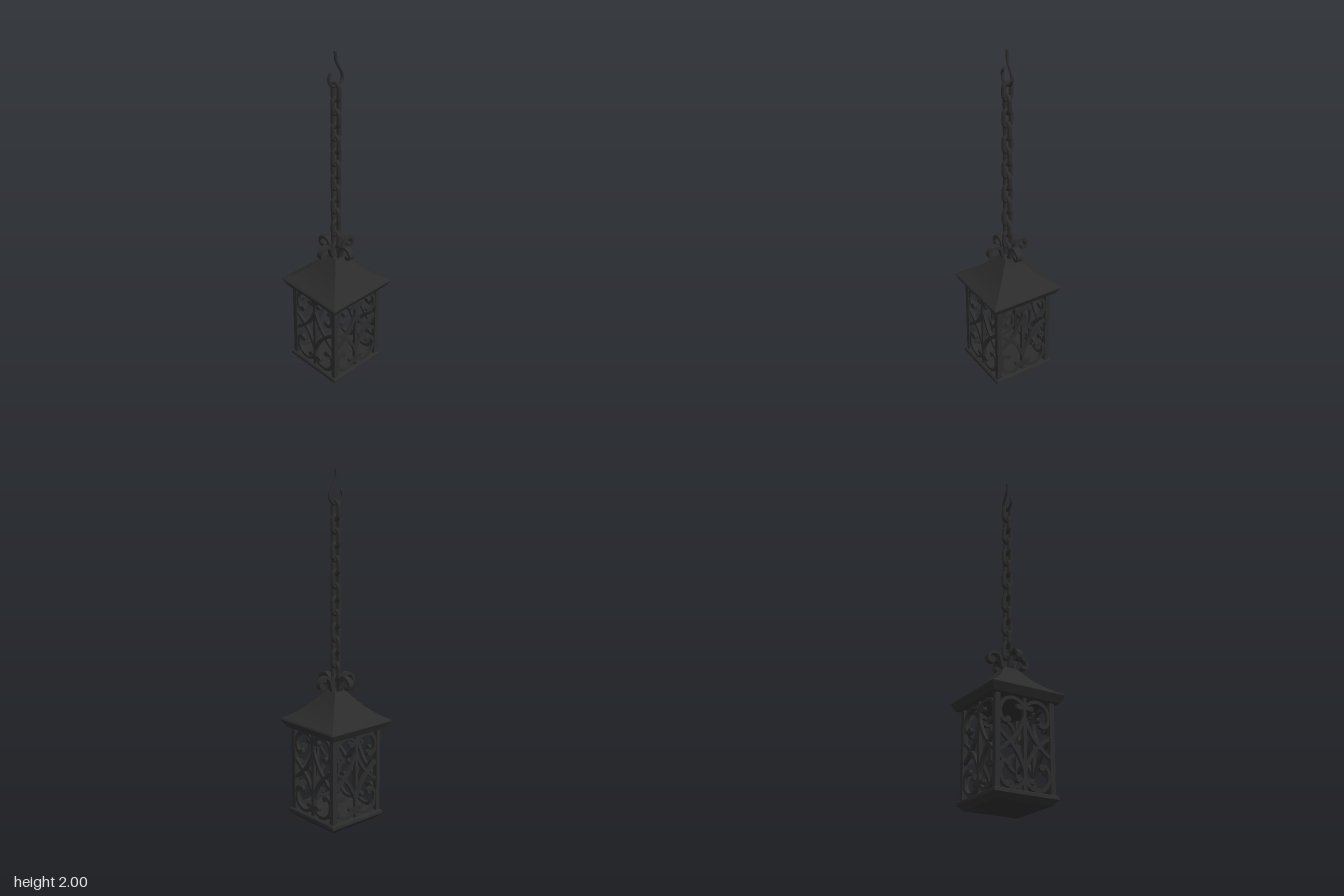
import * as THREE from 'three';
import { toCreasedNormals } from 'three/addons/utils/BufferGeometryUtils.js';

const iron = new THREE.MeshStandardMaterial({ color: 0x2b2b2b });
iron.name = 'blackened iron';

function add(parent, name, geometry) {
  const mesh = new THREE.Mesh(geometry, iron);
  mesh.name = name;
  parent.add(mesh);
  return mesh;
}

// Square body of revolution; profile runs from bottom to top as [half width, height]
function squareLathe(profile) {
  const pts = profile.map(([x, y]) => new THREE.Vector2(x * Math.SQRT2, y));
  return toCreasedNormals(new THREE.LatheGeometry(pts, 4, Math.PI / 4), 0.4);
}

// Flat bar bent along a planar curve, centred on z = 0
function bentBar(points, width, depth, steps = 32) {
  const curve = new THREE.SplineCurve(points.map(([x, y]) => new THREE.Vector2(x, y)));
  const left = [], right = [];
  for (let i = 0; i <= steps; i++) {
    const p = curve.getPointAt(i / steps), t = curve.getTangentAt(i / steps);
    const n = new THREE.Vector2(-t.y, t.x).multiplyScalar(width / 2);
    left.push(p.clone().add(n));
    right.unshift(p.clone().sub(n));
  }
  const geo = new THREE.ExtrudeGeometry(new THREE.Shape([...left, ...right]), { depth, bevelEnabled: false });
  geo.translate(0, 0, -depth / 2);
  return toCreasedNormals(geo, 0.6);
}

// Round knob that ends a scroll
function knob(x, y, radius, depth) {
  return new THREE.CylinderGeometry(radius, radius, depth, 12).rotateX(Math.PI / 2).translate(x, y, 0);
}

// One side grille; scrolls repeat left/right and above/below y = 0.302
function createGrille() {
  const grille = new THREE.Group();
  add(grille, 'centreBar', new THREE.BoxGeometry(0.019, 0.51, 0.02).translate(0, 0.302, 0));
  const scroll = [[-0.1, 0.412], [-0.122, 0.407], [-0.146, 0.435], [-0.147, 0.48], [-0.125, 0.52],
    [-0.085, 0.538], [-0.042, 0.532], [-0.014, 0.508], [-0.024, 0.489], [-0.042, 0.493]];
  const sweep = [[0, 0.445], [-0.016, 0.405], [-0.05, 0.345], [-0.09, 0.302], [-0.125, 0.27], [-0.163, 0.245]];
  for (const sx of [1, -1]) for (const sy of [1, -1]) {
    const place = ([x, y]) => [x * sx, 0.302 + (y - 0.302) * sy];
    add(grille, 'scroll', bentBar(scroll.map(place), 0.019, 0.02));
    add(grille, 'crossingCurve', bentBar(sweep.map(place), 0.019, 0.018));
    add(grille, 'scrollKnob', knob(...place([-0.102, 0.416]), 0.017, 0.022));
    add(grille, 'scrollKnob', knob(...place([-0.04, 0.496]), 0.014, 0.022));
  }
  return grille;
}

// Oval chain link standing in the xy plane
function linkGeometry() {
  const pts = [];
  for (let i = 0; i < 16; i++) {
    const a = (i / 16) * Math.PI * 2;
    pts.push(new THREE.Vector3(Math.cos(a) * 0.023, Math.sin(a) * 0.023 + Math.sign(Math.round(Math.sin(a) * 100)) * 0.024, 0));
  }
  return new THREE.TubeGeometry(new THREE.CatmullRomCurve3(pts, true), 32, 0.0125, 8, true);
}

export function createModel() {
  const lantern = new THREE.Group();
  lantern.name = 'hangingLantern';

  add(lantern, 'base', squareLathe([[0, 0], [0.165, 0], [0.194, 0.03], [0.192, 0.047], [0.182, 0.054], [0, 0.054]]));
  add(lantern, 'roof', squareLathe([[0, 0.55], [0.203, 0.55], [0.227, 0.592], [0.222, 0.6], [0.185, 0.621],
    [0.147, 0.65], [0.113, 0.681], [0.083, 0.713], [0.056, 0.746], [0.037, 0.77], [0, 0.772]]));

  // Four sides: corner post, grille and crowning scroll
  const crown = [[-0.022, 0.755], [-0.035, 0.785], [-0.043, 0.815], [-0.054, 0.843], [-0.08, 0.856],
    [-0.108, 0.848], [-0.124, 0.824], [-0.117, 0.8], [-0.098, 0.797]];
  for (let i = 0; i < 4; i++) {
    const side = new THREE.Group();
    side.name = 'side' + (i + 1);
    side.rotation.y = (i * Math.PI) / 2;
    add(side, 'cornerPost', new THREE.BoxGeometry(0.028, 0.51, 0.028).translate(0.167, 0.302, 0.167));
    const grille = createGrille();
    grille.name = 'grille';
    grille.position.z = 0.167;
    side.add(grille);
    add(side, 'crownScroll', bentBar(crown, 0.016, 0.033));
    add(side, 'crownKnob', knob(-0.1, 0.801, 0.013, 0.034));
    lantern.add(side);
  }

  // Chain links turn a quarter from one to the next
  const link = linkGeometry();
  const chain = new THREE.Group();
  chain.name = 'chain';
  for (let i = 0; i < 14; i++) {
    const mesh = add(chain, 'chainLink', link);
    mesh.position.y = 0.805 + i * 0.075;
    mesh.rotation.y = i % 2 ? 0 : Math.PI / 2;
  }
  lantern.add(chain);

  // Ceiling hook
  const hook = [[2, 0.004], [1.95, -0.001], [1.91, -0.022], [1.875, -0.042], [1.845, -0.045], [1.822, -0.027],
    [1.813, 0], [1.82, 0.028], [1.842, 0.046], [1.868, 0.048], [1.888, 0.04]];
  const hookCurve = new THREE.CatmullRomCurve3(hook.map(([y, z]) => new THREE.Vector3(0, y, z)));
  add(lantern, 'hook', new THREE.TubeGeometry(hookCurve, 48, 0.0085, 8));
  add(lantern, 'hookTip', new THREE.ConeGeometry(0.0085, 0.018, 8).rotateX(-0.35).translate(0, 1.895, 0.037));
  add(lantern, 'hookEnd', new THREE.CylinderGeometry(0.0085, 0.0085, 0.004, 8).translate(0, 1.998, 0.004));
  return lantern;
}
